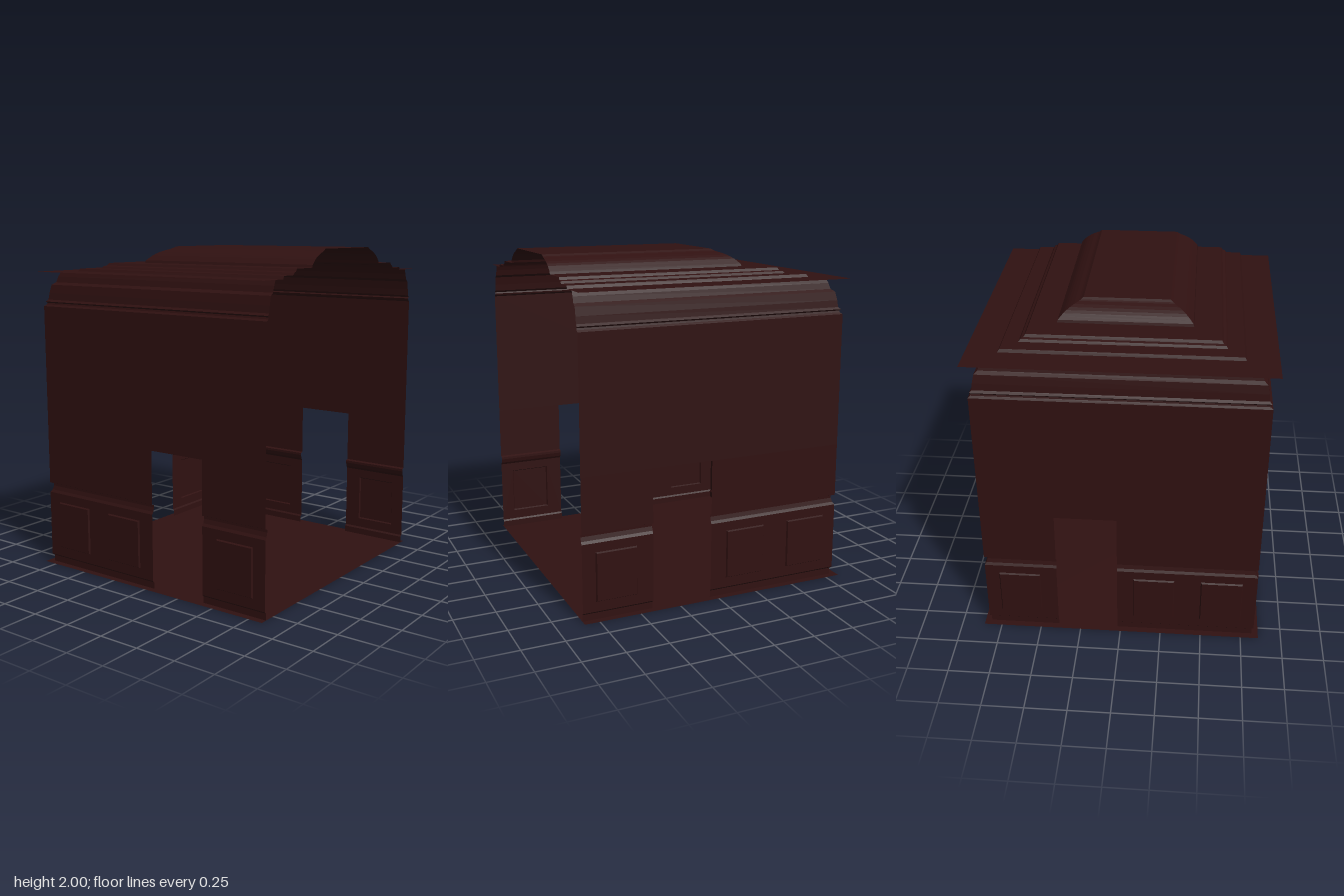
import * as THREE from 'three';

const FRONT = 0.84, SHIFT = 0.02, WALL = 0.83, DOOR_TOP = 0.845;
const PANEL_Y = [0.11, 0.405];

const material = new THREE.MeshStandardMaterial({ color: 0x301111, side: THREE.DoubleSide, flatShading: true });

// Each wall maps (u along wall, height y, distance d from room axis) to space.
const sideEnds = [d => SHIFT - d, () => FRONT];
const sidePanels = [[-0.725, -0.47], [-0.31, -0.06], [0.51, 0.76]];
const walls = [
  { name: 'backWall', at: (u, y, d) => [u, y, SHIFT - d], ends: [d => -d, d => d],
    door: [0.02, 0.39], panels: [[-0.745, -0.49], [-0.33, -0.08], [0.49, 0.745]] },
  { name: 'leftWall', at: (u, y, d) => [d, y, u], ends: sideEnds, door: [0.04, 0.41], panels: sidePanels },
  { name: 'rightWall', at: (u, y, d) => [-d, y, u], ends: sideEnds, door: [0.04, 0.41], panels: sidePanels },
];

function meshFromQuads(name, quads) {
  const pos = [];
  for (const [a, b, c, d] of quads) pos.push(...a, ...b, ...c, ...a, ...c, ...d);
  const geo = new THREE.BufferGeometry();
  geo.setAttribute('position', new THREE.Float32BufferAttribute(pos, 3));
  geo.computeVertexNormals();
  const mesh = new THREE.Mesh(geo, material);
  mesh.name = name;
  return mesh;
}

// Run a (d, y) profile along a wall between two ends, mitred where ends depend on d.
function moulding(name, wall, profile, [start, end]) {
  const quads = [];
  for (let i = 0; i < profile.length - 1; i++) {
    const [d0, y0] = profile[i], [d1, y1] = profile[i + 1];
    quads.push([
      wall.at(start(d0), y0, d0), wall.at(end(d0), y0, d0),
      wall.at(end(d1), y1, d1), wall.at(start(d1), y1, d1),
    ]);
  }
  return meshFromQuads(name, quads);
}

// Flat wainscot with rectangular openings for the sunk panels.
function wainscot(wall, u0, u1, panels) {
  const rect = (path, a, b, y0, y1) => path.moveTo(a, y0).lineTo(b, y0).lineTo(b, y1).lineTo(a, y1).lineTo(a, y0);
  const shape = rect(new THREE.Shape(), u0, u1, 0.05, 0.46);
  for (const [a, b] of panels) shape.holes.push(rect(new THREE.Path(), a, b, ...PANEL_Y));
  const geo = new THREE.ShapeGeometry(shape);
  const p = geo.attributes.position;
  for (let i = 0; i < p.count; i++) p.setXYZ(i, ...wall.at(p.getX(i), p.getY(i), WALL));
  geo.computeVertexNormals();
  const mesh = new THREE.Mesh(geo, material);
  mesh.name = 'wainscot';
  return mesh;
}

// Sunk panel: bevelled rim and flat back, pushed out from the room.
function sunkPanel(wall, [a, b]) {
  const ring = (inset, d) => {
    const y0 = PANEL_Y[0] + inset, y1 = PANEL_Y[1] - inset;
    return [[a + inset, y0], [b - inset, y0], [b - inset, y1], [a + inset, y1]].map(([u, y]) => wall.at(u, y, d));
  };
  const outer = ring(0, WALL), inner = ring(0.006, WALL + 0.01);
  const quads = [inner];
  for (let i = 0; i < 4; i++) {
    const j = (i + 1) % 4;
    quads.push([outer[i], outer[j], inner[j], inner[i]]);
  }
  return meshFromQuads('sunkPanel', quads);
}

const skirting = [[0.82, 0], [0.82, 0.04], [0.83, 0.05]];
const chairRail = [[0.83, 0.46], [0.82, 0.475], [0.813, 0.5], [0.813, 0.515], [0.83, 0.522]];
const cornice = [
  [0.83, 1.64], [0.818, 1.65], [0.815, 1.66], [0.822, 1.668], [0.81, 1.68],
  [0.805, 1.72], [0.795, 1.77], [0.775, 1.785], [0.765, 1.82], [0.752, 1.85],
];

// Stepped ceiling, rising from the edge to a coved centre.
const cove = new THREE.QuadraticBezierCurve(
  new THREE.Vector2(0.37, 1.93), new THREE.Vector2(0.34, 1.965), new THREE.Vector2(0.275, 1.985)
).getPoints(5).map(p => [p.x, p.y]);
const ceiling = [
  [0.86, 1.85], [0.68, 1.85], [0.67, 1.867], [0.58, 1.867], [0.57, 1.88], [0.555, 1.885], [0.545, 1.9],
  [0.39, 1.9], [0.385, 1.915], ...cove, [0.265, 1.99], [0.25, 2], [0, 2],
];

export function createModel() {
  const room = new THREE.Group();
  room.name = 'room';

  const floor = new THREE.Mesh(new THREE.PlaneGeometry(1.72, 1.68).rotateX(-Math.PI / 2), material);
  floor.name = 'floor';
  room.add(floor);

  for (const wall of walls) {
    const group = new THREE.Group();
    group.name = wall.name;
    const [start, end] = wall.ends;

    // Lower wall on either side of the doorway
    for (const ends of [[start, () => wall.door[0]], [() => wall.door[1], end]]) {
      const u0 = ends[0](WALL), u1 = ends[1](WALL);
      const panels = wall.panels.filter(([a, b]) => a > u0 && b < u1);
      group.add(
        moulding('skirting', wall, skirting, ends),
        wainscot(wall, u0, u1, panels),
        moulding('chairRail', wall, chairRail, ends),
        moulding('wallBesideDoor', wall, [[WALL, 0.522], [WALL, DOOR_TOP]], ends),
        ...panels.map(p => sunkPanel(wall, p))
      );
    }

    // Upper wall, cornice and this wall's share of the ceiling
    group.add(
      moulding('upperWall', wall, [[WALL, DOOR_TOP], [WALL, 1.64]], wall.ends),
      moulding('cornice', wall, cornice, wall.ends),
      moulding('ceiling', wall, ceiling, wall.ends)
    );
    room.add(group);
  }
  return room;
}
